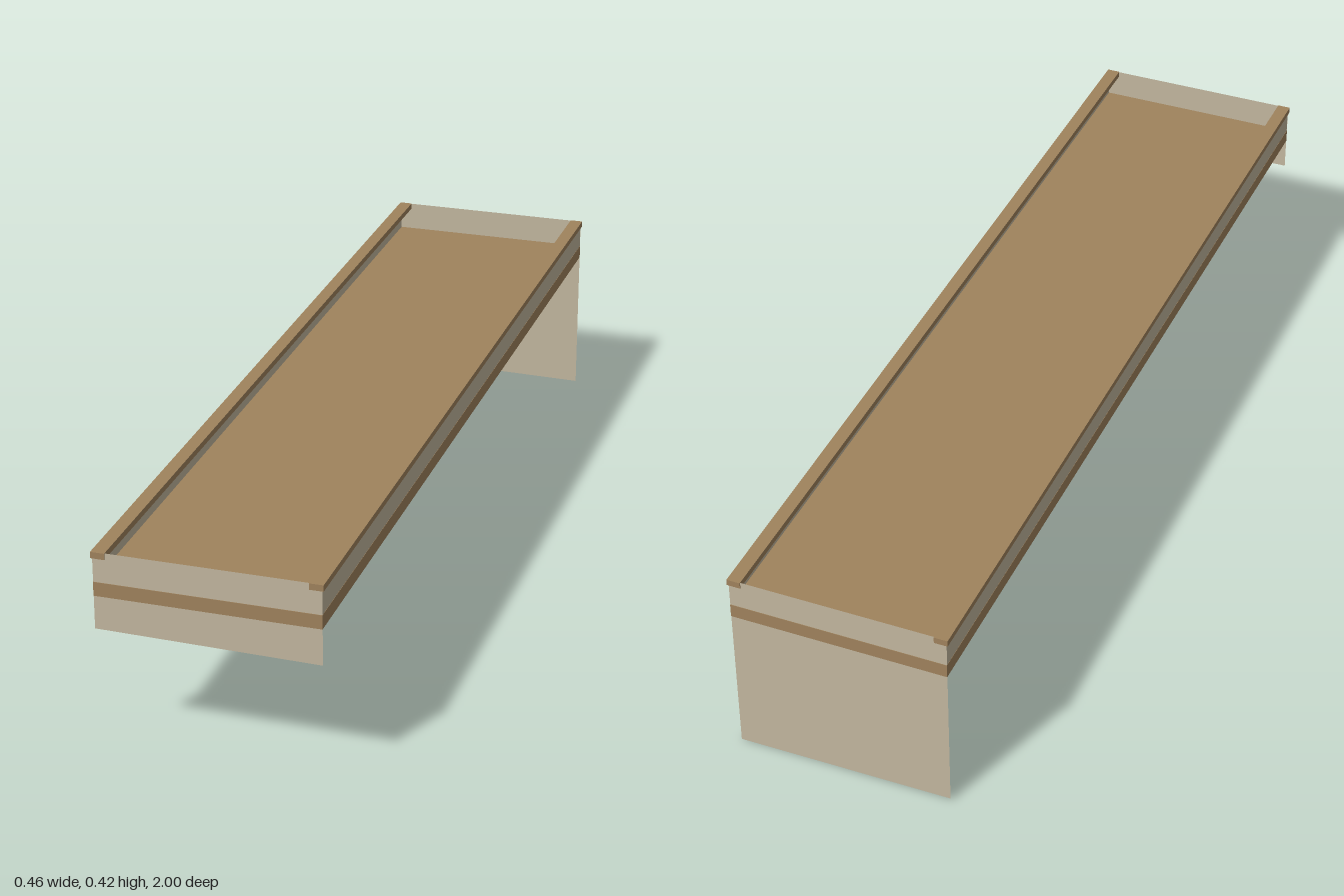
import * as THREE from 'three';

export function createModel() {
  const group = new THREE.Group();
  const wood = new THREE.MeshStandardMaterial({ name: 'brown wood', color: 0xa0835d });
  const panel = new THREE.MeshStandardMaterial({ name: 'beige panel', color: 0xc3b79f, side: THREE.DoubleSide });

  const add = (name, geometry, material, x, y, z) => {
    const mesh = new THREE.Mesh(geometry, material);
    mesh.name = name;
    mesh.position.set(x, y, z);
    group.add(mesh);
  };

  // Deck slab, its edges showing as a band around the outside
  add('deck', new THREE.BoxGeometry(0.45, 0.029, 1.998), wood, 0, 0.34, 0);

  // Side walls with a handrail along the top
  for (const [side, s] of [['left', 1], ['right', -1]]) {
    const wall = new THREE.PlaneGeometry(1.996, 0.062).rotateY(s * Math.PI / 2);
    add(side + 'Wall', wall, panel, s * 0.2245, 0.3855, 0);
    add(side + 'Rail', new THREE.BoxGeometry(0.028, 0.013, 2), wood, s * 0.214, 0.4105, 0);
  }

  // End panels, each with a slightly slanted lower edge
  const endPanel = (name, z, bottomRight, bottomLeft) => {
    const outline = new THREE.Shape([
      new THREE.Vector2(-0.225, bottomRight), new THREE.Vector2(0.225, bottomLeft),
      new THREE.Vector2(0.225, 0.417), new THREE.Vector2(-0.225, 0.417),
    ]);
    add(name, new THREE.ShapeGeometry(outline), panel, 0, 0, z);
  };
  endPanel('frontPanel', 0.998, 0.256, 0.25);
  endPanel('backPanel', -0.998, 0.006, 0);

  return group;
}
